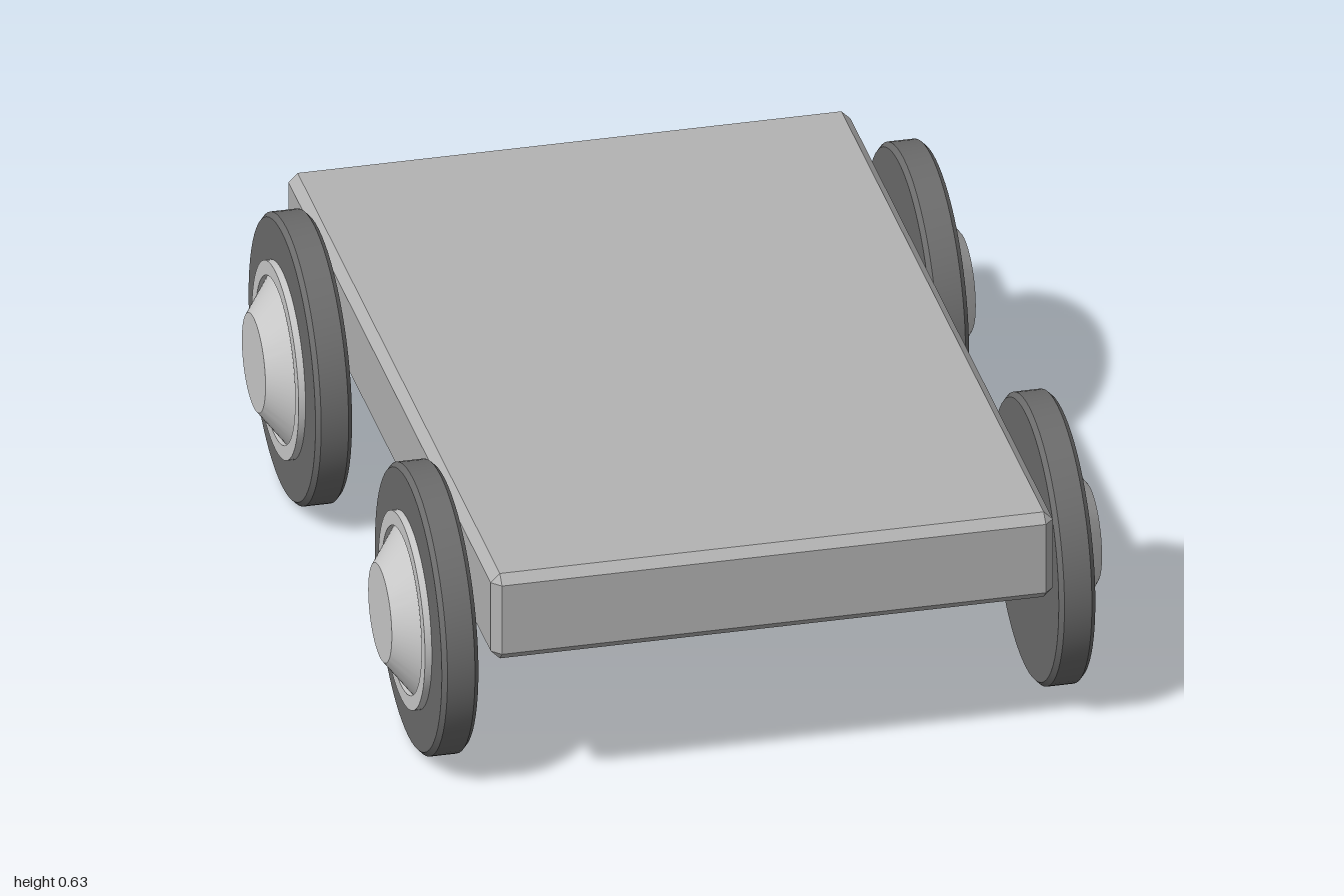
import * as THREE from 'three';
import { toCreasedNormals } from 'three/addons/utils/BufferGeometryUtils.js';
import { ConvexGeometry } from 'three/addons/geometries/ConvexGeometry.js';

const metal = new THREE.MeshStandardMaterial({ color: 0xcccccc });
const paint = new THREE.MeshStandardMaterial({ color: 0xb3b3b3 });
const rubber = new THREE.MeshStandardMaterial({ color: 0x6b6b6b });

const AXLE_Y = 0.317;

function part(name, geometry, material) {
  const mesh = new THREE.Mesh(geometry, material);
  mesh.name = name;
  return mesh;
}

// Box with every edge cut at 45 degrees
function chamferedBox(w, h, d, c) {
  const points = [];
  for (const sx of [-1, 1]) for (const sy of [-1, 1]) for (const sz of [-1, 1]) {
    for (let axis = 0; axis < 3; axis++) {
      const inset = [c, c, c];
      inset[axis] = 0;
      points.push(new THREE.Vector3(
        sx * (w / 2 - inset[0]), sy * (h / 2 - inset[1]), sz * (d / 2 - inset[2])));
    }
  }
  return new ConvexGeometry(points);
}

// Turned solid from [radius, height] pairs, with crisp edges
function turned(profile, segments = 64) {
  const points = profile.map(([r, y]) => new THREE.Vector2(r, y));
  return toCreasedNormals(new THREE.LatheGeometry(points, segments), 0.4);
}

// Wheel whose outer face points to +x
function createWheel() {
  const wheel = new THREE.Group();
  wheel.name = 'wheel';
  const tyre = turned([[0, 0.635], [0.306, 0.635], [0.316, 0.645],
    [0.316, 0.705], [0.306, 0.715], [0, 0.715]]);
  const rim = turned([[0.215, 0.71], [0.215, 0.73], [0.183, 0.73], [0.183, 0.71]]);
  const hubCap = turned([[0.183, 0.714], [0.183, 0.72], [0.108, 0.777], [0, 0.777]]);
  for (const g of [tyre, rim, hubCap]) g.rotateZ(-Math.PI / 2);
  wheel.add(part('tyre', tyre, rubber), part('rim', rim, metal), part('hubCap', hubCap, metal));
  return wheel;
}

export function createModel() {
  const model = new THREE.Group();
  model.name = 'wheeledChassis';

  // Flat chassis slab
  const chassis = part('chassis', chamferedBox(1.23, 0.205, 1.89, 0.02), paint);
  chassis.position.set(0, 0.462, 0.055);
  model.add(chassis);

  // Axles with a wheel at each end
  for (const [name, z] of [['front', 0.645], ['rear', -0.51]]) {
    const assembly = new THREE.Group();
    assembly.name = name + 'Axle';
    assembly.position.set(0, AXLE_Y, z);
    const rod = part('axleRod', new THREE.CylinderGeometry(0.038, 0.038, 1.28, 32), metal);
    rod.rotation.z = Math.PI / 2;
    const left = createWheel();
    const right = createWheel();
    right.rotation.y = Math.PI;
    assembly.add(rod, left, right);
    model.add(assembly);
  }

  // Twin open exhaust pipes at the back
  const pipe = turned([[0.063, 0], [0.081, 0], [0.081, 0.36], [0.063, 0.36], [0.063, 0]], 48);
  for (const side of [-1, 1]) {
    const exhaust = part('exhaustPipe', pipe, metal);
    exhaust.rotation.x = Math.PI / 2;
    exhaust.position.set(side * 0.081, 0.275, -1);
    model.add(exhaust);
  }

  return model;
}
